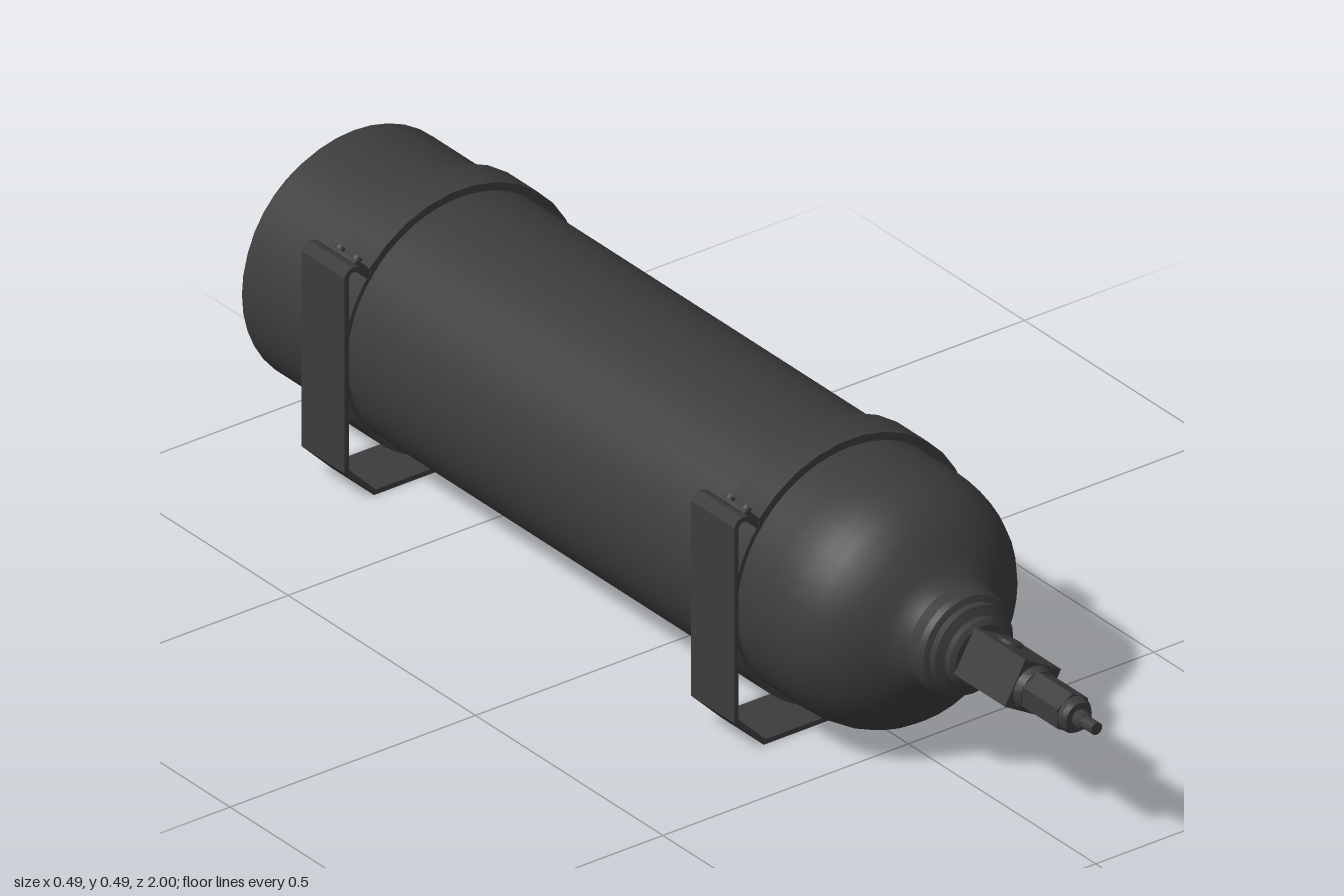
import * as THREE from 'three';
import { toCreasedNormals } from 'three/addons/utils/BufferGeometryUtils.js';

const DARK = new THREE.MeshStandardMaterial({ color: 0x3c3c3c });
const AXIS_Y = 0.25, AXIS_X = 0.002;

function add(parent, name, geometry) {
  const mesh = new THREE.Mesh(geometry, DARK);
  mesh.name = name;
  parent.add(mesh);
  return mesh;
}

// Turned part along z from [radius, z] pairs, running back to front
function turned(points, sides, crease = 0.45) {
  const geo = new THREE.LatheGeometry(points.map(([r, z]) => new THREE.Vector2(r, z)), sides);
  return toCreasedNormals(geo.rotateX(Math.PI / 2), crease);
}

// Straight prism along z from z0 to z1
function prism(shape, z0, z1) {
  const geo = new THREE.ExtrudeGeometry(shape, { depth: z1 - z0, bevelEnabled: false, curveSegments: 32 });
  return toCreasedNormals(geo.translate(0, 0, z0), 0.45);
}

// Bent sheet strip: a polyline thickened in its plane, extruded to a width
function strip(path, thickness, width) {
  const pts = path.map(([x, y]) => new THREE.Vector2(x, y));
  const normal = (a, b) => {
    const d = b.clone().sub(a).normalize();
    return new THREE.Vector2(-d.y, d.x);
  };
  const left = [], right = [];
  pts.forEach((p, i) => {
    const n0 = normal(pts[Math.max(i - 1, 0)], pts[Math.max(i, 1)]);
    const last = pts.length - 1;
    const n1 = normal(pts[Math.min(i, last - 1)], pts[Math.min(i + 1, last)]);
    const m = n0.clone().add(n1).normalize();
    const h = thickness / 2 / Math.max(m.dot(n0), 0.5);
    left.push(p.clone().addScaledVector(m, h));
    right.push(p.clone().addScaledVector(m, -h));
  });
  return prism(new THREE.Shape([...left, ...right.reverse()]), -width / 2, width / 2);
}

// Completes half a path by reflecting it across the 45 degree diagonal
const mirrored = (half) => [...half, ...half.map(([x, y]) => [y, x]).reverse()];

function createClamp(z) {
  const clamp = new THREE.Group();
  clamp.name = 'clamp';
  clamp.position.z = z;

  // Liner ring hugging the cylinder
  const ring = new THREE.Shape().absarc(0, 0, 0.2375, 0, Math.PI * 2);
  ring.holes.push(new THREE.Path().absarc(0, 0, 0.2295, 0, Math.PI * 2, true));
  add(clamp, 'linerRing', prism(ring, -0.038, 0.038));

  // Strap over the upper right half, ends folded outward
  const half = [[-0.213, 0.182], [-0.193, 0.164], [-0.188, 0.156]];
  const from = 139, steps = 9;
  for (let i = 0; i < steps; i++) {
    const a = THREE.MathUtils.degToRad(from - (from - 45) * i / (steps - 0.5));
    half.push([0.241 * Math.cos(a), 0.241 * Math.sin(a)]);
  }
  add(clamp, 'strap', strip(mirrored(half), 0.007, 0.078));

  // Mounting bracket with hooked ends
  const bracket = [
    [-0.195, 0.154], [-0.218, 0.176], [-0.226, 0.181], [-0.234, 0.182],
    [-0.241, 0.179], [-0.2455, 0.171], [-0.2455, -0.188],
  ];
  add(clamp, 'bracket', strip(mirrored(bracket), 0.009, 0.115));

  // Two rivets on each folded end
  for (const [x, y, nx, ny] of [[-0.202, 0.173, 1, 1], [0.173, -0.202, 1, 1]]) {
    for (const dz of [-0.022, 0.022]) {
      const rivet = add(clamp, 'rivet', new THREE.CylinderGeometry(0.009, 0.009, 0.018, 12));
      rivet.position.set(x, y, dz);
      rivet.quaternion.setFromUnitVectors(new THREE.Vector3(0, 1, 0), new THREE.Vector3(nx, ny, 0).normalize());
    }
  }
  return clamp;
}

function createValve() {
  const valve = new THREE.Group();
  valve.name = 'valve';

  // Base collar
  add(valve, 'valveCollar', turned([
    [0, 0.64], [0.08, 0.64], [0.08, 0.672], [0.063, 0.678], [0.063, 0.69], [0.054, 0.695], [0, 0.695],
  ], 32));

  // Square block with two opposite corners cut, turned so one face looks up and left
  const s = 0.042, c = 0.024;
  const block = new THREE.Shape([
    [s, s], [-s, s], [-s, -s + c], [-s + c, -s], [s, -s],
  ].map(([x, y]) => new THREE.Vector2(x, y)));
  const corners = [[s, s], [-s + c, s], [-s, s - c], [-s, -s], [s - c, -s], [s, -s + c]];
  block.setFromPoints(corners.map(([x, y]) => new THREE.Vector2(x, y)));
  const body = new THREE.Group();
  body.name = 'valveBody';
  body.rotation.z = THREE.MathUtils.degToRad(60);
  add(body, 'valveBlock', prism(block, 0.69, 0.83));

  // Port disc on the upper face
  const port = add(body, 'port', new THREE.CylinderGeometry(0.022, 0.022, 0.008, 20));
  port.rotation.z = Math.PI / 2;
  port.position.set(s + 0.002, 0, 0.74);
  valve.add(body);

  // Shoulder, hexagonal nut and stem
  add(valve, 'shoulder', turned([[0, 0.83], [0.04, 0.83], [0.034, 0.843], [0, 0.843]], 24));
  add(valve, 'hexNut', toCreasedNormals(
    new THREE.CylinderGeometry(0.036, 0.036, 0.095, 6).rotateX(Math.PI / 2).translate(0, 0, 0.888), 0.3));
  add(valve, 'nozzle', turned([
    [0.031, 0.93], [0.031, 0.945], [0.026, 0.953], [0.015, 0.953], [0.015, 0.968],
    [0.011, 0.972], [0.011, 1], [0, 1],
  ], 20));
  return valve;
}

export function createModel() {
  const model = new THREE.Group();
  model.name = 'gasCylinder';
  const assembly = new THREE.Group();
  assembly.name = 'assembly';
  assembly.position.set(AXIS_X, AXIS_Y, 0);
  model.add(assembly);

  // Tank with chamfered flat rear and domed front
  add(assembly, 'tank', turned([
    [0, -1], [0.211, -1], [0.228, -0.982], [0.228, 0.41], [0.226, 0.45], [0.219, 0.485],
    [0.207, 0.515], [0.19, 0.54], [0.168, 0.562], [0.143, 0.58], [0.12, 0.594],
    [0.104, 0.607], [0.095, 0.622],
  ], 40));

  // Neck ring
  add(assembly, 'neckRing', turned([
    [0.088, 0.605], [0.095, 0.615], [0.095, 0.645], [0.09, 0.655], [0.078, 0.66], [0, 0.66],
  ], 32));

  assembly.add(createValve());
  for (const z of [0.303, -0.737]) assembly.add(createClamp(z));
  return model;
}
